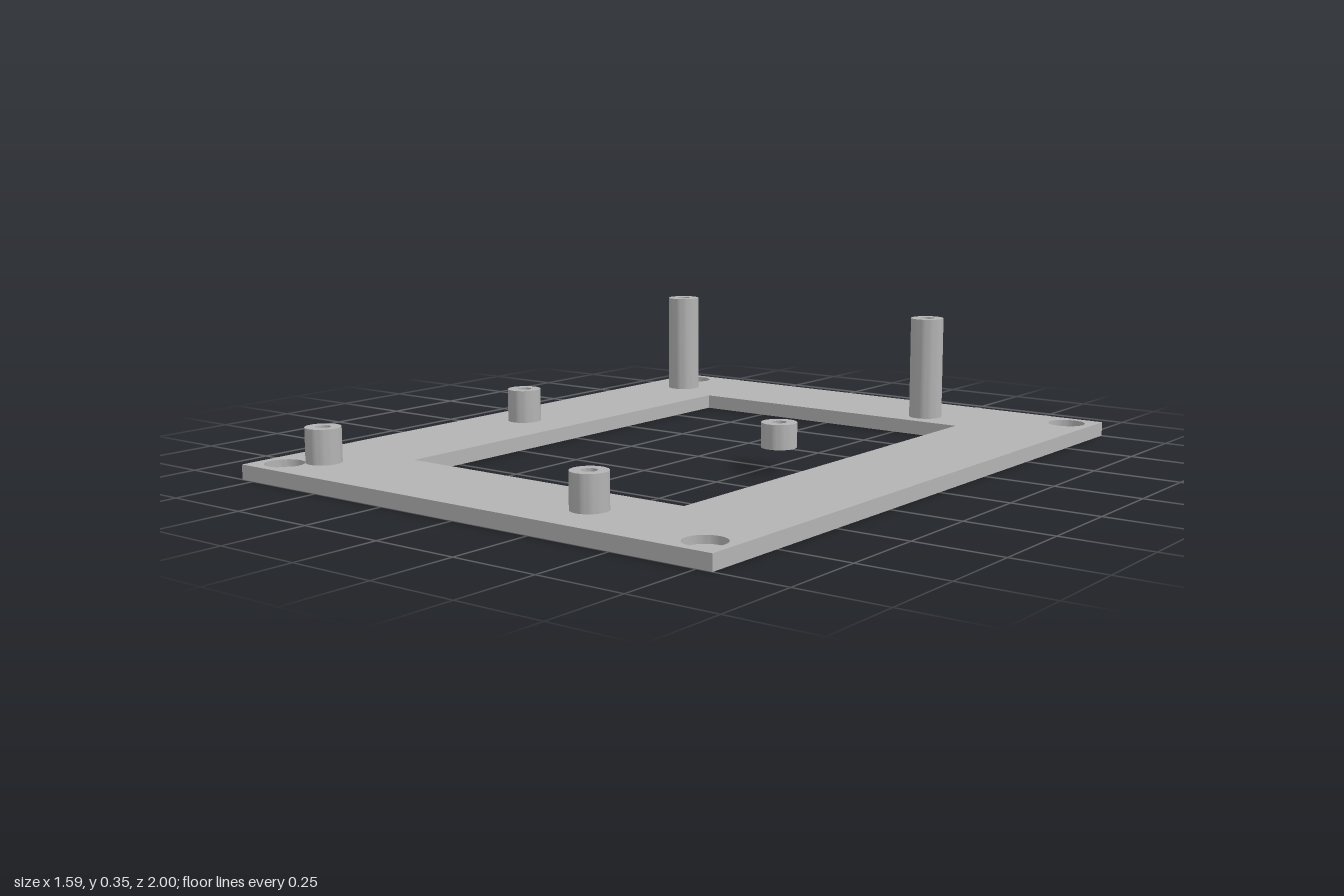
import * as THREE from 'three';
import { toCreasedNormals } from 'three/addons/utils/BufferGeometryUtils.js';

const PLATE_TOP = 0.042;

function circle(Type, x, y, r) {
  const c = new Type();
  c.absarc(x, y, r, 0, Math.PI * 2, false);
  return c;
}

function rect(Type, w, d) {
  return new Type([
    new THREE.Vector2(-w / 2, -d / 2), new THREE.Vector2(w / 2, -d / 2),
    new THREE.Vector2(w / 2, d / 2), new THREE.Vector2(-w / 2, d / 2),
  ]);
}

// Extrudes a plan shape upward from height y0 to y1
function slab(shape, y0, y1) {
  const g = new THREE.ExtrudeGeometry(shape, { depth: y1 - y0, bevelEnabled: false, curveSegments: 20 });
  g.rotateX(-Math.PI / 2).translate(0, y0, 0);
  return toCreasedNormals(g, 0.6);
}

function ring(outer, inner, y0, y1) {
  const s = circle(THREE.Shape, 0, 0, outer);
  s.holes.push(circle(THREE.Path, 0, 0, inner));
  return slab(s, y0, y1);
}

export function createModel() {
  const group = new THREE.Group();
  const grey = new THREE.MeshStandardMaterial({ color: 0xb3b3b3 });
  grey.name = 'grey';

  const add = (name, geometry, x = 0, z = 0) => {
    const mesh = new THREE.Mesh(geometry, grey);
    mesh.name = name;
    mesh.position.set(x, 0, z);
    group.add(mesh);
  };

  // Frame plate with a central window and corner recesses
  const corners = [[-0.714, -0.92], [0.714, -0.92], [-0.714, 0.92], [0.714, 0.92]];
  const plate = rect(THREE.Shape, 1.588, 2);
  plate.holes.push(rect(THREE.Path, 0.932, 1.35));
  corners.forEach(([x, z]) => plate.holes.push(circle(THREE.Path, x, z, 0.055)));
  add('framePlate', slab(plate, 0, PLATE_TOP));

  // Seats at the bottom of the counterbored screw holes
  corners.forEach(([x, z]) => add('screwHoleSeat', ring(0.055, 0.028, 0, 0.021), x, z));

  // Hollow standoffs: tall at the back, short elsewhere; one hangs in the window
  for (const x of [-0.642, 0.308]) {
    add('tallStandoff', ring(0.05, 0.021, PLATE_TOP, 0.35), x, -0.767);
    add('middleStandoff', ring(0.05, 0.021, x > 0 ? 0.07 : PLATE_TOP, 0.14), x, 0.038);
    add('frontStandoff', ring(0.05, 0.021, PLATE_TOP, 0.14), x, 0.843);
  }
  return group;
}
